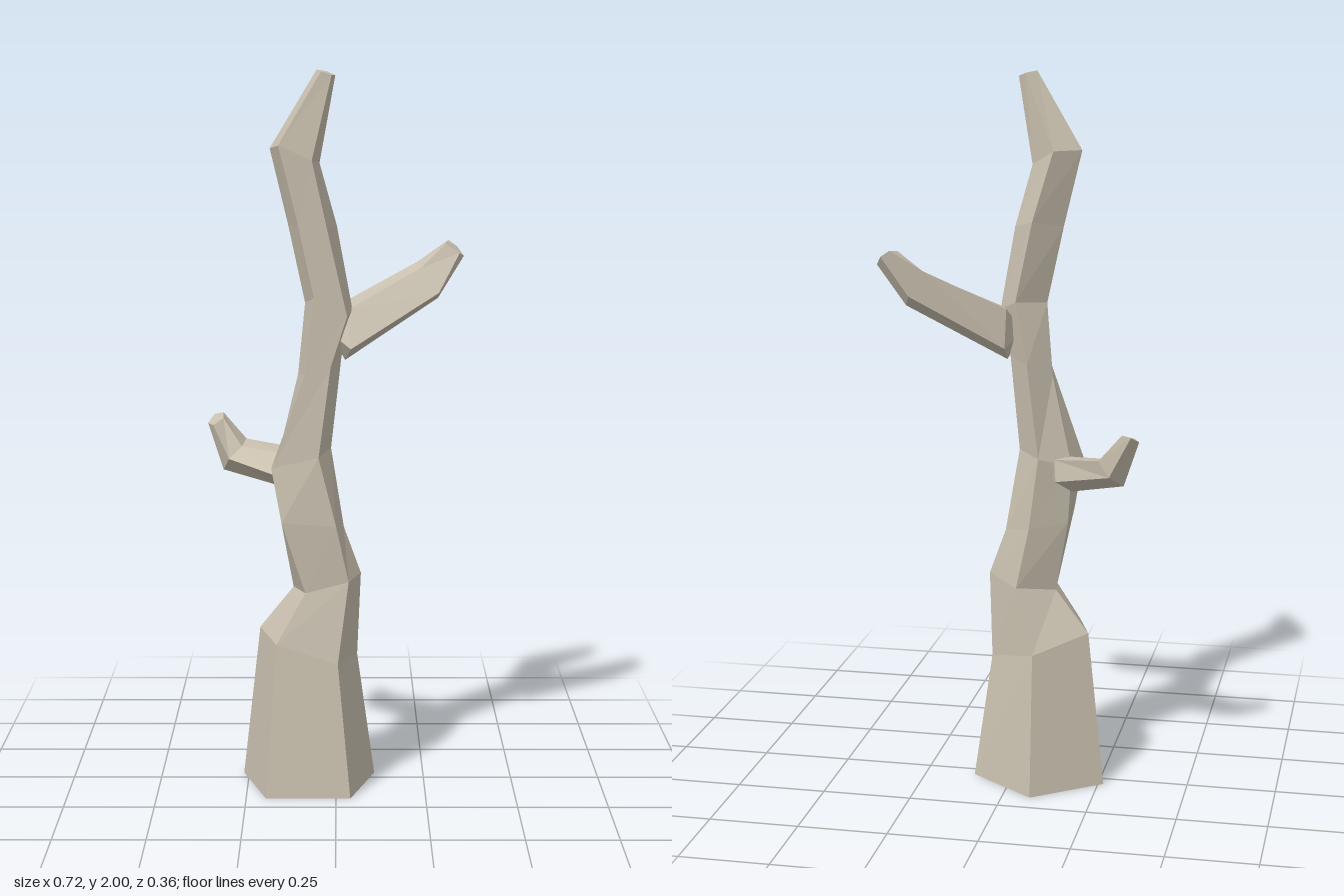
import * as THREE from 'three';

const bark = new THREE.MeshStandardMaterial({ color: 0xc8bfae, flatShading: true });
bark.name = 'paleBark';

// Skin five-sided rings into a closed limb; rings run counterclockwise seen from the tip
function limb(name, rings) {
  const pos = [];
  const tri = (...pts) => pts.forEach((p) => pos.push(...p));
  for (let k = 0; k < rings.length - 1; k++) {
    const lo = rings[k], hi = rings[k + 1];
    for (let i = 0; i < 5; i++) {
      const j = (i + 1) % 5;
      tri(lo[i], lo[j], hi[j]);
      tri(lo[i], hi[j], hi[i]);
    }
  }
  const first = rings[0], last = rings[rings.length - 1];
  for (let i = 1; i < 4; i++) {
    tri(first[0], first[i + 1], first[i]);
    tri(last[0], last[i], last[i + 1]);
  }
  const geo = new THREE.BufferGeometry();
  geo.setAttribute('position', new THREE.Float32BufferAttribute(pos, 3));
  geo.computeVertexNormals();
  const mesh = new THREE.Mesh(geo, bark);
  mesh.name = name;
  return mesh;
}

// Root ring hidden in the trunk, shrunk towards a point on its axis
const rooted = (rings, c) => [
  rings[0].map((p) => p.map((v, i) => v + (c[i] - v) * 0.55)), ...rings,
];

export function createModel() {
  const group = new THREE.Group();
  group.name = 'deadTree';

  // Trunk rings: front left, front right, right, back, left
  group.add(limb('trunk', [
    [[-0.195, 0, 0.18], [0.04, 0, 0.18], [0.11, 0, -0.04], [-0.078, 0, -0.18], [-0.265, 0, -0.04]],
    [[-0.165, 0.43, 0.14], [0.005, 0.375, 0.145], [0.06, 0.36, -0.025], [-0.075, 0.4, -0.13], [-0.215, 0.44, -0.02]],
    [[-0.085, 0.57, 0.11], [0.035, 0.6, 0.105], [0.07, 0.6, -0.01], [-0.02, 0.58, -0.085], [-0.12, 0.56, -0.01]],
    [[-0.15, 0.77, 0.12], [0.0, 0.76, 0.115], [0.022, 0.73, -0.02], [-0.055, 0.75, -0.08], [-0.155, 0.76, -0.02]],
    [[-0.178, 0.92, 0.1], [-0.048, 0.95, 0.11], [-0.014, 0.96, 0.0], [-0.08, 0.95, -0.075], [-0.165, 0.92, -0.02]],
    [[-0.085, 1.18, 0.105], [-0.015, 1.2, 0.107], [0.015, 1.22, 0.015], [-0.045, 1.21, -0.06], [-0.105, 1.17, 0.01]],
    [[-0.06, 1.39, 0.108], [0.03, 1.34, 0.108], [0.045, 1.35, 0.025], [-0.01, 1.38, -0.045], [-0.085, 1.37, 0.03]],
    [[-0.103, 1.59, 0.11], [-0.025, 1.58, 0.11], [0.002, 1.58, 0.015], [-0.055, 1.6, -0.038], [-0.13, 1.58, 0.03]],
    [[-0.155, 1.8, 0.115], [-0.065, 1.76, 0.112], [-0.045, 1.75, 0.02], [-0.11, 1.79, -0.025], [-0.18, 1.79, 0.03]],
    [[-0.04, 1.995, 0.085], [-0.012, 1.985, 0.082], [-0.002, 1.985, 0.045], [-0.025, 1.995, 0.022], [-0.052, 2.0, 0.05]],
  ]));

  // Upper branch reaching to the model's left
  group.add(limb('leftBranch', rooted([
    [[0.03, 1.35, 0.04], [0.04, 1.25, 0.103], [0.025, 1.21, 0.02], [0.02, 1.25, -0.045], [0.015, 1.36, -0.045]],
    [[0.235, 1.455, -0.065], [0.285, 1.39, -0.03], [0.285, 1.37, -0.09], [0.27, 1.4, -0.125], [0.23, 1.47, -0.12]],
    [[0.305, 1.52, -0.1], [0.345, 1.495, -0.095], [0.358, 1.485, -0.12], [0.34, 1.51, -0.15], [0.315, 1.527, -0.148]],
  ], [-0.02, 1.29, 0.03])));

  // Lower branch reaching to the model's right
  group.add(limb('rightBranch', rooted([
    [[-0.15, 0.945, 0], [-0.125, 0.95, -0.07], [-0.13, 0.89, -0.08], [-0.165, 0.85, -0.02], [-0.176, 0.9, 0.085]],
    [[-0.265, 0.955, -0.05], [-0.255, 0.965, -0.12], [-0.285, 0.92, -0.125], [-0.318, 0.885, -0.07], [-0.3, 0.925, -0.015]],
    [[-0.318, 1.03, -0.085], [-0.32, 1.04, -0.125], [-0.345, 1.035, -0.13], [-0.362, 1.015, -0.09], [-0.345, 1.015, -0.05]],
  ], [-0.09, 0.9, 0.02])));

  return group;
}
